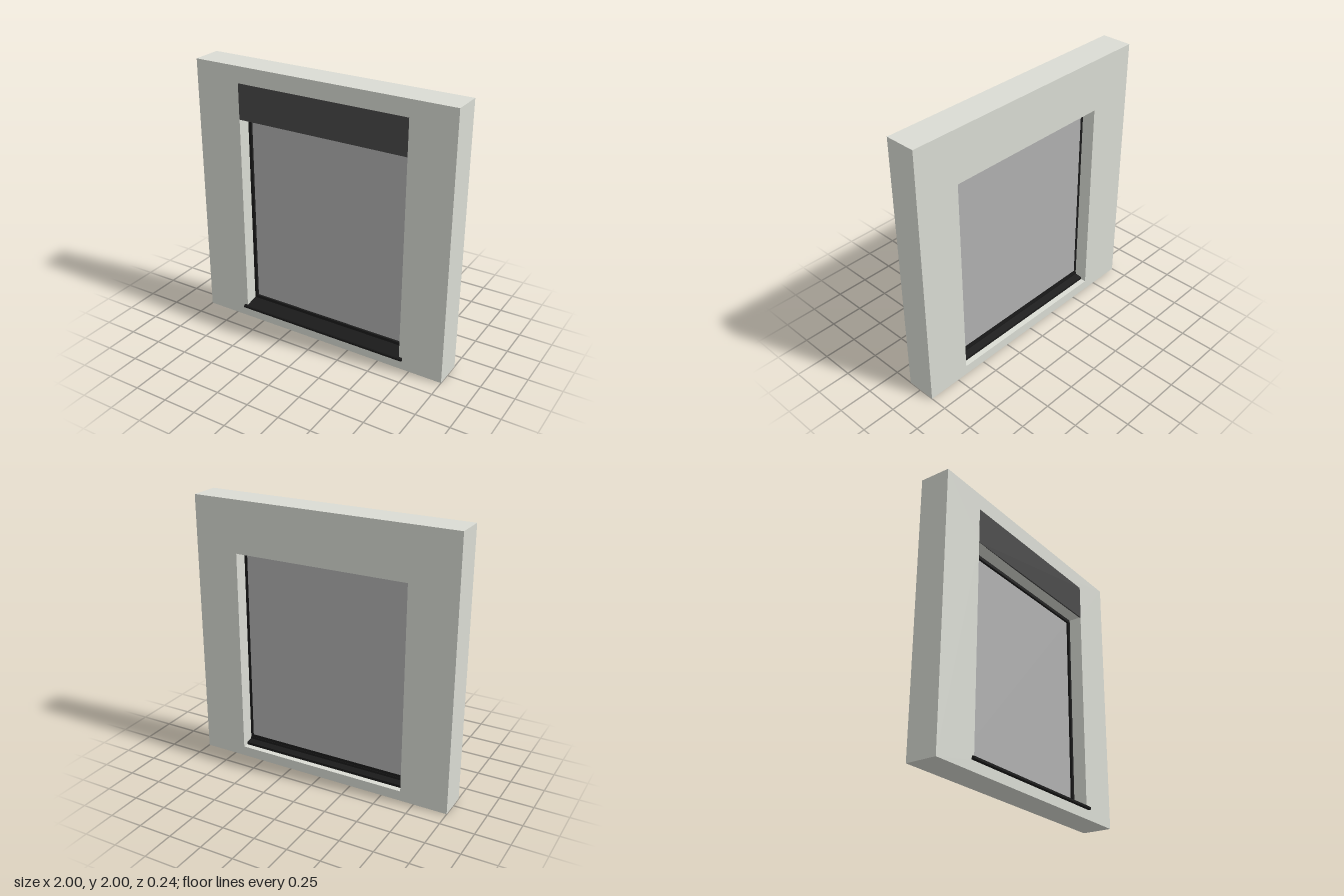
import * as THREE from 'three';

const mat = (color) => new THREE.MeshStandardMaterial({ color });

export function createModel() {
  const model = new THREE.Group();
  const wallMat = mat(0xdadcd4);
  const frameMat = mat(0x1a1a1a);
  const glassMat = mat(0xb0b0b0);
  const panelMat = mat(0x484848);

  // Opening limits and wall depth
  const L = -0.647, R = 0.668, B = 0.075, T = 1.614;
  const back = -0.122, front = 0.103;

  const add = (name, geometry, material) => {
    const mesh = new THREE.Mesh(geometry, material);
    mesh.name = name;
    model.add(mesh);
    return mesh;
  };
  // Box given by its two extreme corners
  const box = (name, x0, x1, y0, y1, z0, z1, material) =>
    add(name, new THREE.BoxGeometry(x1 - x0, y1 - y0, z1 - z0), material)
      .position.set((x0 + x1) / 2, (y0 + y1) / 2, (z0 + z1) / 2);
  const rectangle = (path, x0, x1, y0, y1) => path
    .moveTo(x0, y0).lineTo(x1, y0).lineTo(x1, y1).lineTo(x0, y1).closePath();
  // Extruded rectangle with a rectangular hole
  const ring = (outer, inner, z0, z1) => {
    const shape = new THREE.Shape();
    rectangle(shape, ...outer);
    const hole = new THREE.Path();
    rectangle(hole, ...inner);
    shape.holes.push(hole);
    return new THREE.ExtrudeGeometry(shape, { depth: z1 - z0, bevelEnabled: false })
      .translate(0, 0, z0);
  };
  // Profile of [z, y] points swept along x
  const sweep = (points, x0, x1) => {
    const shape = new THREE.Shape(points.map(([z, y]) => new THREE.Vector2(-z, y)));
    return new THREE.ExtrudeGeometry(shape, { depth: x1 - x0, bevelEnabled: false })
      .rotateY(Math.PI / 2).translate(x0, 0, 0);
  };

  // Wall with window opening
  add('wall', ring([-1, 1, 0, 2], [L, R, B, T], back, front), wallMat);

  // Flush panel above the opening
  box('lintelPanel', L, R, T, 1.878, front - 0.01, front + 0.001, panelMat);

  // Window frame and pane
  add('windowFrame', ring([L, R, 0.115, T], [L + 0.022, R - 0.022, 0.139, T - 0.025], -0.022, 0.003), frameMat);
  box('glassPane', L + 0.02, R - 0.02, 0.137, T - 0.023, -0.02, -0.014, glassMat);

  // Sloping sill inside the opening
  add('sill', sweep([[-0.08, B], [front, B], [front, 0.096], [0, 0.117], [-0.025, 0.117], [-0.025, 0.1], [-0.08, 0.094]], L, R), frameMat);

  // Projecting sill nose, wider than the opening
  add('sillNose', sweep([[front, 0.072], [0.117, 0.072], [0.122, 0.077], [0.122, 0.09], [0.116, 0.096], [front, 0.096]], -0.67, 0.695), frameMat);

  return model;
}
